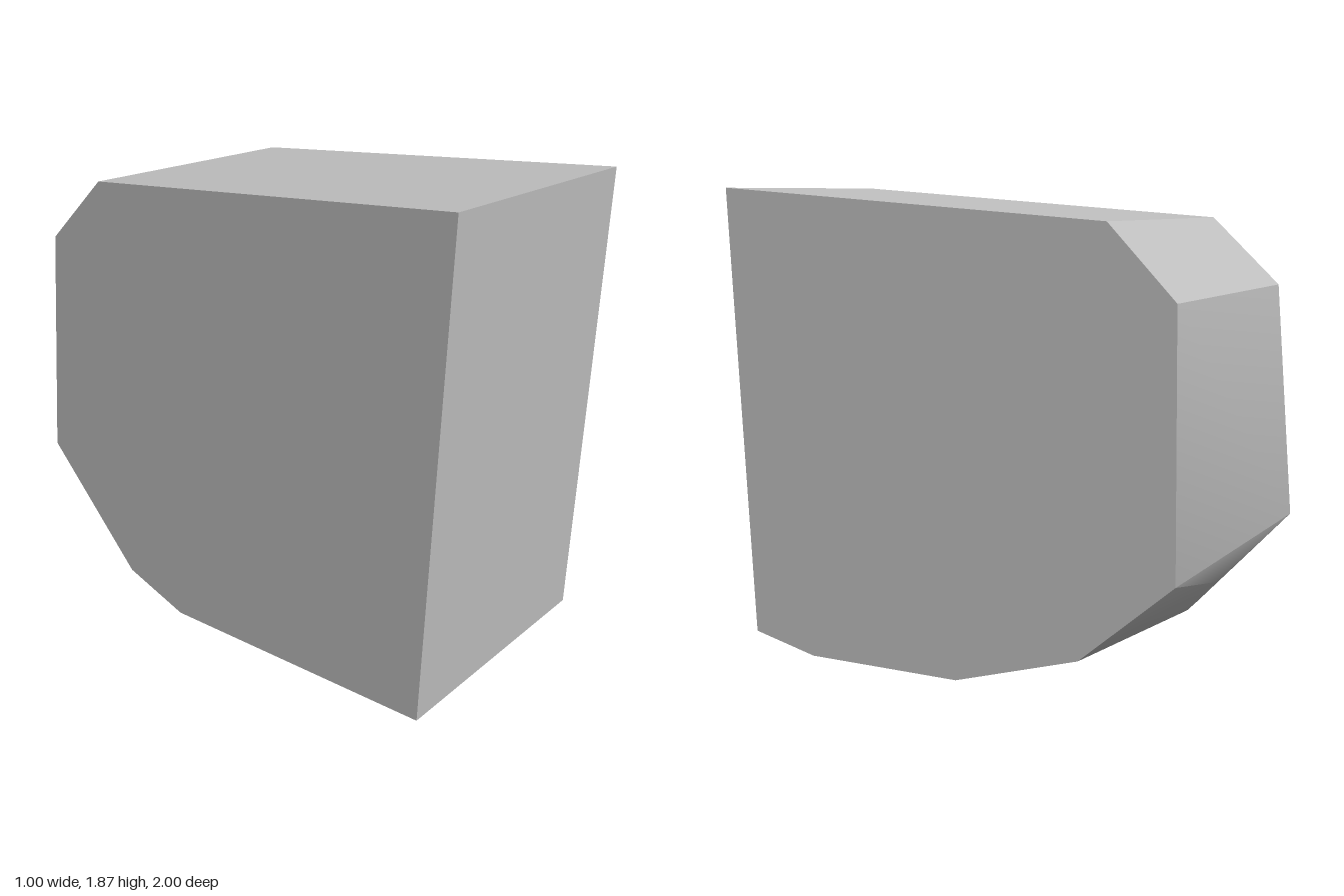
import * as THREE from 'three';
import { ConvexGeometry } from 'three/addons/geometries/ConvexGeometry.js';
import { toCreasedNormals } from 'three/addons/utils/BufferGeometryUtils.js';

// Side outlines as [z, y], starting at the top front corner
const leftOutline = [
  [1.0, 1.855], [-0.64, 1.73], [-0.9, 1.46], [-0.91, 0.49],
  [-0.54, 0.17], [-0.03, 0.015], [0.63, 0.008], [0.91, 0.07],
];
const rightOutline = [
  [0.995, 1.866], [-0.65, 1.74], [-0.925, 1.48], [-1.0, 0.57],
  [-0.57, 0.11], [-0.29, 0.008], [0.895, 0],
];

export function createModel() {
  const group = new THREE.Group();
  const grey = new THREE.MeshStandardMaterial({ color: 0xbfbfbf });
  grey.name = 'light grey';

  const points = [
    // left side leans in very slightly towards the bottom and back
    ...leftOutline.map(([z, y]) => new THREE.Vector3(0.487 + 0.004 * y + 0.003 * z, y, z)),
    ...rightOutline.map(([z, y]) => new THREE.Vector3(-0.5, y, z)),
    // swell of the rounded lower back, between the two sides
    new THREE.Vector3(0.03, 0.4, -0.89),
    new THREE.Vector3(-0.1, 0.28, -0.77),
  ];

  // Convex block: sharp at the sides, top and chamfer, smooth under the back
  const block = new THREE.Mesh(toCreasedNormals(new ConvexGeometry(points), 0.6), grey);
  block.name = 'chamferedBlock';
  group.add(block);
  return group;
}
